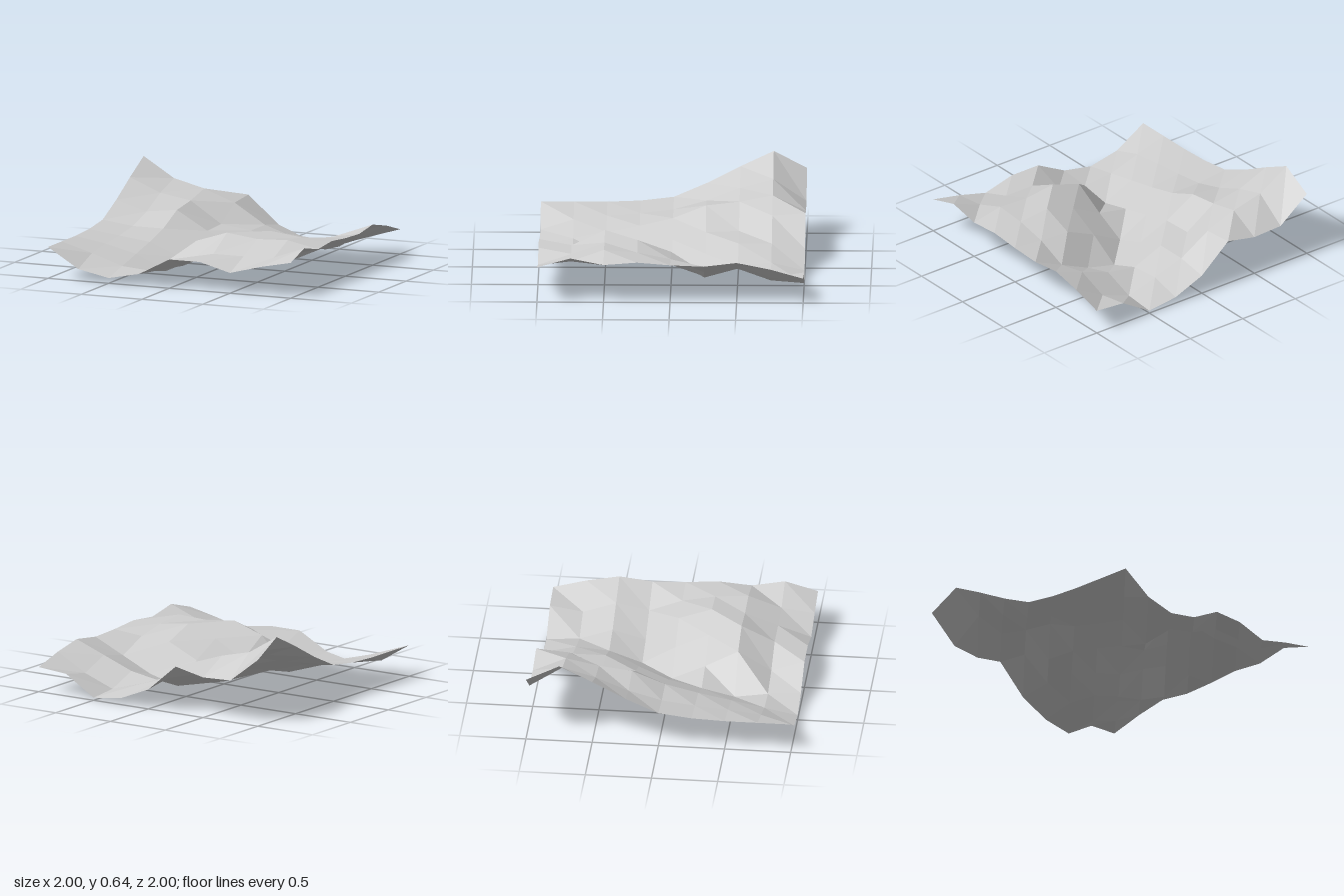
import * as THREE from 'three';

// Surface heights: one row per z step (back to front), one entry per x step
const HEIGHTS = [
  [0.51, 0.32, 0.31, 0.36, 0.15, 0.05, 0.02, 0.17, 0.19],
  [0.64, 0.49, 0.43, 0.34, 0.19, 0.11, 0.04, 0.13, 0.26],
  [0.52, 0.42, 0.38, 0.22, 0.19, 0.09, 0.13, 0.22, 0.31],
  [0.39, 0.32, 0.35, 0.21, 0.11, 0.00, 0.06, 0.17, 0.28],
  [0.28, 0.25, 0.25, 0.15, 0.02, 0.15, 0.26, 0.27, 0.29],
  [0.25, 0.22, 0.19, 0.09, 0.14, 0.27, 0.35, 0.32, 0.31],
  [0.24, 0.20, 0.14, 0.03, 0.28, 0.36, 0.33, 0.34, 0.29],
  [0.24, 0.17, 0.09, 0.07, 0.13, 0.24, 0.24, 0.25, 0.34],
  [0.24, 0.09, 0.04, 0.09, 0.22, 0.22, 0.155, 0.22, 0.27],
];

export function createModel() {
  const group = new THREE.Group();
  group.name = 'terrain';

  const stone = new THREE.MeshStandardMaterial({
    color: 0xcccccc,
    flatShading: true,
    side: THREE.DoubleSide,
  });
  stone.name = 'light grey';

  // Open sheet of 8 x 8 cells, each grid point lifted to its height
  const cells = HEIGHTS.length - 1;
  const geometry = new THREE.PlaneGeometry(2, 2, cells, cells).rotateX(-Math.PI / 2);
  const position = geometry.attributes.position;
  HEIGHTS.flat().forEach((height, i) => position.setY(i, height));
  geometry.computeVertexNormals();

  const ground = new THREE.Mesh(geometry, stone);
  ground.name = 'hillySurface';
  group.add(ground);
  return group;
}
